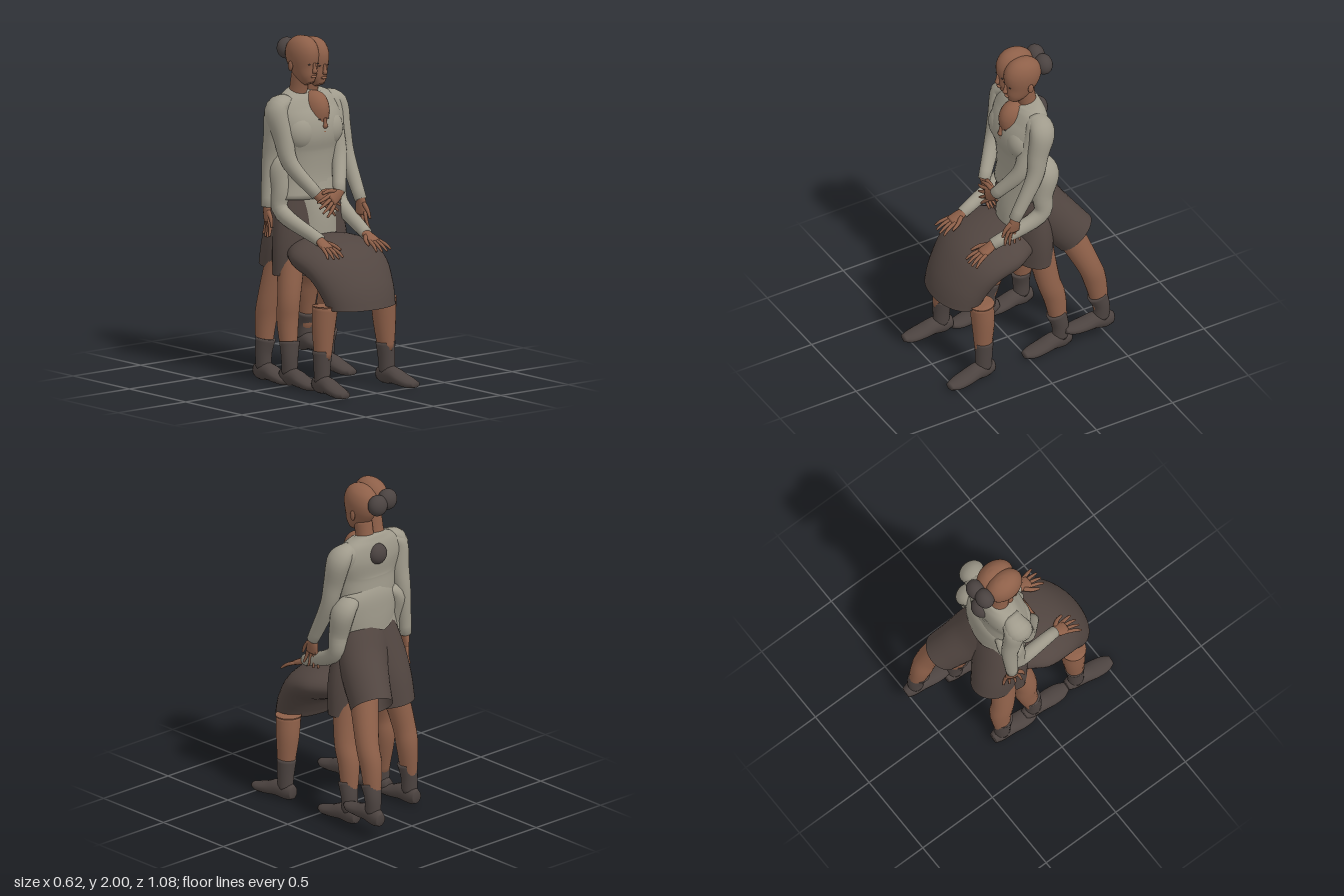
import * as THREE from 'three';

const mat = (name, color, side = THREE.FrontSide) => {
  const m = new THREE.MeshStandardMaterial({ color, side });
  m.name = name;
  return m;
};

// Smooth skin over elliptical sections [x, y, z, halfWidth, halfDepth] set across a curved path;
// nothing reaches below the floor height
function loft(sections, { sides = 20, steps = 5, caps = true, floor = -1 } = {}) {
  const path = new THREE.CatmullRomCurve3(sections.map(s => new THREE.Vector3(s[0], s[1], s[2])), false, 'catmullrom', 0.5);
  const size = new THREE.CatmullRomCurve3(sections.map(s => new THREE.Vector3(s[3], s[4] ?? s[3], 0)), false, 'catmullrom', 0.5);
  const n = (sections.length - 1) * steps, pos = [], idx = [];
  for (let j = 0; j <= n; j++) {
    const c = path.getPoint(j / n), r = size.getPoint(j / n), t = path.getTangent(j / n);
    const side = new THREE.Vector3(1, 0, 0).addScaledVector(t, -t.x).normalize();
    const across = side.clone().cross(t);
    for (let i = 0; i < sides; i++) {
      const a = i / sides * Math.PI * 2;
      const p = c.clone().addScaledVector(side, r.x * Math.cos(a)).addScaledVector(across, r.y * Math.sin(a));
      pos.push(p.x, Math.max(p.y, floor), p.z);
      if (j < n) {
        const k = (i + 1) % sides, A = j * sides + i, B = j * sides + k;
        idx.push(A, A + sides, B, B, A + sides, B + sides);
      }
    }
  }
  if (caps) {
    for (const end of [0, 1]) {
      const base = end * n * sides, c = path.getPoint(end), mid = pos.length / 3;
      pos.push(c.x, c.y, c.z);
      for (let i = 0; i < sides; i++) {
        const k = (i + 1) % sides;
        idx.push(mid, base + (end ? k : i), base + (end ? i : k));
      }
    }
  }
  const g = new THREE.BufferGeometry();
  g.setAttribute('position', new THREE.Float32BufferAttribute(pos, 3));
  g.setIndex(idx);
  g.computeVertexNormals();
  return g;
}

export function createModel() {
  const model = new THREE.Group();
  const skin = mat('skin', 0x8e6049), shirt = mat('shirt', 0xa09b8c);
  const cloth = mat('skirt cloth', 0x524641, THREE.DoubleSide);
  const hair = mat('hair', 0x4b4341), leather = mat('socks and shoes', 0x4d4441);

  const add = (parent, name, geo, material, p = [0, 0, 0], s = [1, 1, 1]) => {
    const m = new THREE.Mesh(geo, material);
    m.name = name;
    m.position.set(...p);
    m.scale.set(...s);
    parent.add(m);
    return m;
  };
  const group = (parent, name, p = [0, 0, 0], r = [0, 0, 0]) => {
    const g = new THREE.Group();
    g.name = name;
    g.position.set(...p);
    g.rotation.set(...r);
    parent.add(g);
    return g;
  };
  const ball = new THREE.SphereGeometry(1, 24, 16);

  // Head with face, ears and a bun; origin at chin height
  const headGeo = loft([[0, 0, .062, .026, .03], [0, .035, .045, .05, .062], [0, .085, .02, .067, .092], [0, .14, .002, .079, .113],
    [0, .19, -.01, .079, .112], [0, .232, -.02, .064, .09], [0, .258, -.026, .036, .053], [0, .268, -.028, .008, .012]], { sides: 28 });
  const noseGeo = loft([[0, .125, .106, .008, .008], [0, .095, .108, .01, .012], [0, .078, .11, .015, .014], [0, .068, .1, .01, .008]], { sides: 10 });
  function head(parent, p) {
    const g = group(parent, 'head', p);
    add(g, 'skull', headGeo, skin);
    add(g, 'nose', noseGeo, skin);
    add(g, 'lips', ball, skin, [0, .045, .1], [.02, .008, .01]);
    for (const s of [-1, 1]) {
      add(g, 'ear', ball, skin, [s * .077, .1, -.015], [.009, .03, .018]);
      add(g, 'eye', ball, hair, [s * .031, .118, .097], [.009, .003, .004]);
    }
    add(g, 'bun', ball, hair, [0, .178, -.142], [.06, .062, .052]);
    add(g, 'neck', loft([[0, -.12, -.05, .07], [0, -.05, -.037, .052, .055], [0, .06, -.015, .05, .058]]), skin);
  }

  // Hand: fingers along -y, palm facing z
  const palmGeo = loft([[0, .02, 0, .025, .022], [0, -.03, 0, .038, .02], [0, -.085, .004, .042, .015]], { sides: 12 });
  function hand(parent, p, r, thumbSide) {
    const g = group(parent, 'hand', p, r);
    add(g, 'palm', palmGeo, skin);
    for (let i = -1.5; i < 2; i++) {
      const tip = -.18 + Math.abs(i) * .01;
      add(g, 'finger', loft([[i * .02, -.07, .003, .011], [i * .029, -.125, .008, .01], [i * .036, tip, .0, .006]], { sides: 8, steps: 3 }), skin);
    }
    add(g, 'thumb', loft([[thumbSide * .02, -.02, 0, .015], [thumbSide * .055, -.06, .006, .012], [thumbSide * .072, -.108, .008, .007]], { sides: 8, steps: 3 }), skin);
  }

  // Sleeve from inside the shoulder to the wrist, ending in a hand
  function arm(parent, shoulder, elbow, wrist, handRotation, thumbSide) {
    const [x, y, z] = shoulder;
    const mid = shoulder.map((v, i) => (v + elbow[i]) / 2);
    add(parent, 'sleeve', loft([[x - Math.sign(x) * .085, y + .055, z, .035, .05], [x, y, z, .06, .076], [...mid, .055, .062],
      [...elbow, .045, .05], [...wrist, .035, .036]]), shirt);
    hand(parent, wrist, handRotation, thumbSide);
  }

  // Shoe and sock; origin on the ground below the ankle
  const shoeGeo = loft([[0, .055, -.065, .03, .038], [0, .058, -.02, .043, .055], [0, .06, .05, .05, .05], [0, .044, .12, .056, .038],
    [0, .031, .19, .05, .029], [0, .03, .238, .028, .018]], { sides: 14, floor: .006 });

  function leg(parent, top, knee, ankle, { pitch = 0, yaw = 0 } = {}) {
    const calf = knee.map((v, i) => v * .6 + ankle[i] * .4);
    calf[2] -= .015;
    const rim = knee.map((v, i) => v * .33 + ankle[i] * .67);
    add(parent, 'bareLeg', loft([[...top, .082, .088], [...knee, .066, .07], [...calf, .06, .066], [...ankle, .038, .042]]), skin);
    add(parent, 'sock', loft([[...rim, .058, .06], [ankle[0], ankle[1] + .04, ankle[2], .048, .05], [ankle[0], ankle[1] - .05, ankle[2], .043, .048]]), leather);
    const foot = group(parent, 'foot', [ankle[0], ankle[1] - .125, ankle[2]], [pitch, yaw, 0]);
    add(foot, 'shoe', shoeGeo, leather);
  }

  // Upright shirt body with a soft bust and a collar
  const bodyGeo = loft([[0, 1.07, -.1, .19, .125], [0, 1.2, -.1, .165, .115], [0, 1.35, -.092, .175, .118], [0, 1.46, -.08, .195, .128],
    [0, 1.56, -.108, .212, .112], [0, 1.63, -.122, .185, .092], [0, 1.67, -.125, .125, .072], [0, 1.69, -.122, .06, .055]], { sides: 32 });
  function upperBody(parent, x) {
    const g = group(parent, 'upperBody', [x, 0, 0]);
    add(g, 'shirtBody', bodyGeo, shirt);
    for (const s of [-1, 1]) add(g, 'bust', ball, shirt, [s * .075, 1.455, -.045], [.105, .11, .088]);
  }

  // Standing figure with hands clasped in front
  const standing = group(model, 'standingFigure');
  head(standing, [-.068, 1.732, -.08]);
  upperBody(standing, -.04);
  arm(standing, [-.24, 1.585, -.11], [-.205, 1.28, -.02], [-.105, 1.11, .095], [-.2, 0, 1.0], 1);
  arm(standing, [.155, 1.585, -.11], [.135, 1.28, 0], [.045, 1.11, .11], [-.2, 0, -1.0], -1);
  add(standing, 'skirt', loft([[-.005, 1.1, -.105, .19, .12], [-.005, .95, -.105, .235, .13], [0, .8, -.1, .255, .135], [0, .63, -.1, .255, .13]],
    { sides: 32, caps: false }), cloth);
  leg(standing, [.13, .85, -.1], [.19, .5, -.15], [.22, .125, -.215]);
  leg(standing, [-.15, .8, -.15], [-.21, .5, -.2], [-.235, .125, -.225]);

  // Walking figure, one leg kicked back
  const walking = group(model, 'walkingFigure');
  head(walking, [.012, 1.715, -.085]);
  upperBody(walking, 0);
  arm(walking, [.2, 1.58, -.11], [.225, 1.28, -.04], [.225, 1.04, .085], [-.1, -1.45, 0], 1);
  arm(walking, [-.225, 1.575, -.12], [-.235, 1.28, -.17], [-.255, 1.02, -.17], [.1, 1.2, -.1], -1);
  add(walking, 'sweptSkirt', loft([[.02, 1.1, -.12, .17, .12], [.08, .96, -.175, .15, .135], [.125, .84, -.26, .13, .135], [.165, .735, -.345, .118, .13]],
    { sides: 28, caps: false }), cloth);
  add(walking, 'rearSkirtPanel', loft([[-.02, 1.1, -.12, .17, .12], [-.07, .96, -.145, .16, .13], [-.11, .8, -.175, .14, .14], [-.125, .65, -.2, .125, .14]],
    { sides: 28, caps: false }), cloth);
  leg(walking, [-.12, .85, -.1], [-.2, .53, -.04], [-.23, .125, .0]);
  leg(walking, [.17, .8, -.28], [.24, .55, -.385], [.265, .2, -.46], { pitch: -.12, yaw: -.06 });

  // Seated figure with hands on the lap
  const seated = group(model, 'seatedFigure');
  head(seated, [-.005, 1.41, -.062]);
  add(seated, 'shirtBody', loft([[0, .75, -.07, .16, .12], [0, .95, -.08, .145, .13], [0, 1.1, -.1, .185, .125], [0, 1.24, -.115, .205, .115],
    [0, 1.34, -.13, .18, .095], [0, 1.42, -.13, .07, .06]], { sides: 28 }), shirt);
  add(seated, 'lapSkirt', loft([[0, .76, -.05, .21, .09], [0, .755, .08, .285, .115], [0, .7, .23, .28, .125], [0, .59, .32, .25, .13],
    [0, .49, .362, .228, .13], [0, .43, .37, .222, .125]], { sides: 36, caps: false, floor: .49 }), cloth);
  for (const s of [-1, 1]) {
    arm(seated, [s * .195, 1.27, -.14], [s * .215, .99, -.08], [s * .17, .866, .2], [-1.08, 0, s * .05], -s);
    // Shins cut off flat below the skirt hem
    add(seated, 'shin', loft([[s * .215, .51, .3, .075, .07], [s * .225, .38, .295, .067, .066], [s * .235, .2, .3, .046, .05]]), skin);
    add(seated, 'shinTop', new THREE.CylinderGeometry(.075, .075, .006, 20), skin, [s * .215, .51, .3]);
    add(seated, 'sock', loft([[s * .233, .25, .295, .057, .057], [s * .238, .16, .298, .048, .051], [s * .24, .07, .3, .043, .048]]), leather);
    add(group(seated, 'foot', [s * .24, 0, .3], [0, s * .08, 0]), 'shoe', shoeGeo, leather);
  }
  return model;
}
